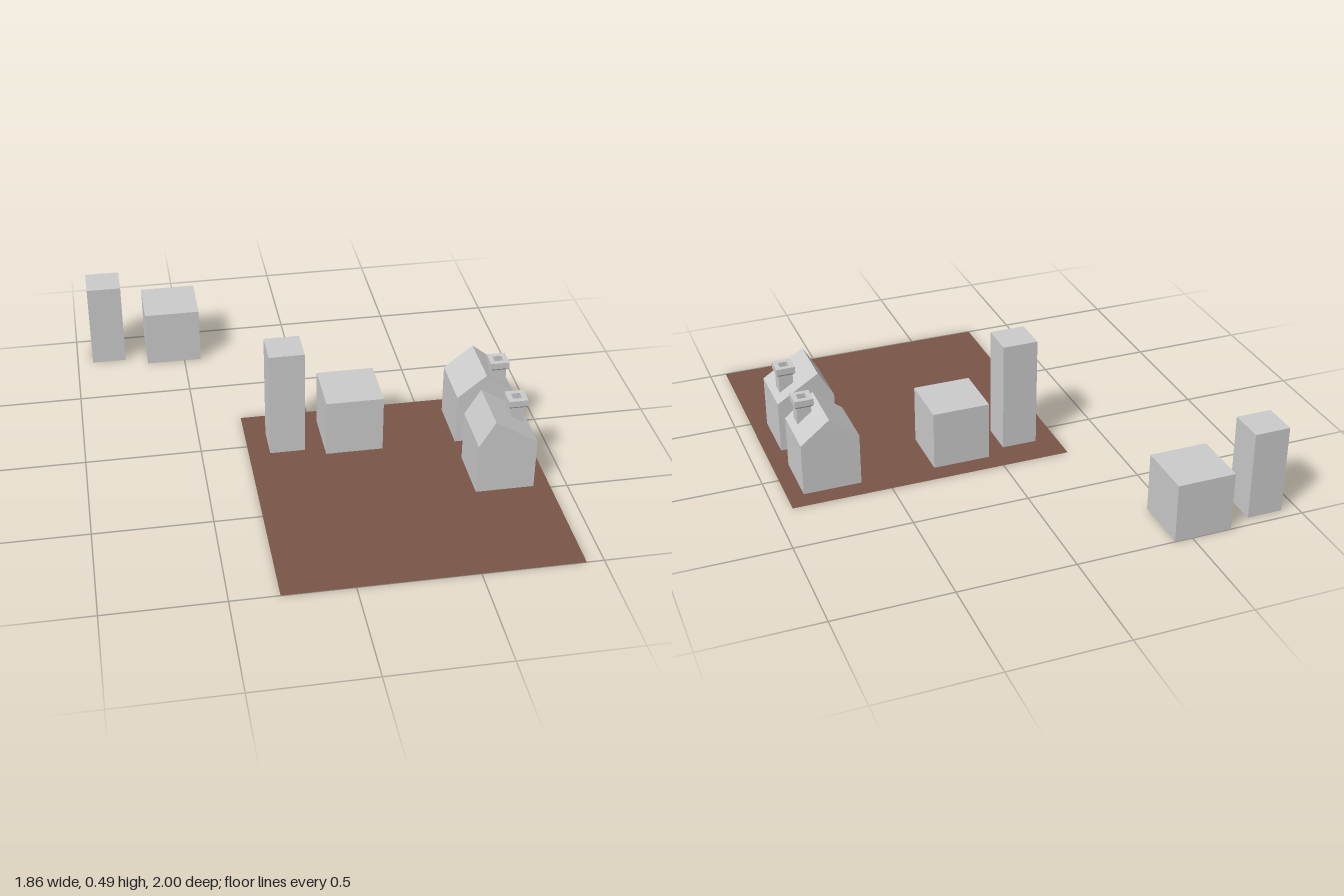
import * as THREE from 'three';

const grey = new THREE.MeshStandardMaterial({ color: 0xcccccc, flatShading: true });
const brown = new THREE.MeshStandardMaterial({ color: 0x795548, side: THREE.DoubleSide });
const LIFT = 0.001; // keeps the undersides clear of the ground sheet

function add(parent, name, geometry, material, x, y, z) {
  const mesh = new THREE.Mesh(geometry, material);
  mesh.name = name;
  mesh.position.set(x, y, z);
  parent.add(mesh);
  return mesh;
}

// Plain block building standing on the ground
function block(parent, name, x, z, width, height) {
  add(parent, name, new THREE.BoxGeometry(width, height, width), grey, x, height / 2 + LIFT, z);
}

// Square chimney: shaft, flared cap and a sunken flue
function chimneyGeometry() {
  const profile = [
    [0, 0.2], [0.031, 0.2], [0.031, 0.325], [0.041, 0.336], [0.041, 0.364],
    [0.019, 0.364], [0.019, 0.33], [0, 0.33],
  ].map(([half, y]) => new THREE.Vector2(half * Math.SQRT2, y));
  return new THREE.LatheGeometry(profile, 4, Math.PI / 4).toNonIndexed();
}

// House with an off-centre ridge running front to back
function house(parent, name, x, z, ridgeX, ridgeY) {
  const group = new THREE.Group();
  group.name = name;
  group.position.set(x, LIFT, z);
  const half = 0.125, eaves = 0.23;
  const gable = new THREE.Shape([
    new THREE.Vector2(-half, 0), new THREE.Vector2(half, 0),
    new THREE.Vector2(half, eaves), new THREE.Vector2(ridgeX - x, ridgeY),
    new THREE.Vector2(-half, eaves),
  ]);
  const body = new THREE.ExtrudeGeometry(gable, { depth: 2 * half, bevelEnabled: false });
  add(group, 'houseBody', body, grey, 0, 0, -half);
  const chimney = chimneyGeometry();
  chimney.computeVertexNormals();
  add(group, 'chimney', chimney, grey, 0.067, 0, -0.027 + (z < 0.2 ? 0.076 : 0));
  parent.add(group);
}

export function createModel() {
  const model = new THREE.Group();
  model.name = 'village';

  // Ground sheet
  const ground = new THREE.PlaneGeometry(1.226, 1.226).rotateX(-Math.PI / 2);
  add(model, 'ground', ground, brown, 0.315, 0, 0.387);

  // Towers and low blocks
  block(model, 'outerTower', -0.853, -0.877, 0.154, 0.39);
  block(model, 'outerBlock', -0.548, -0.875, 0.25, 0.26);
  block(model, 'tower', -0.128, -0.012, 0.154, 0.49);
  block(model, 'lowBlock', 0.159, -0.015, 0.25, 0.26);

  // Houses
  house(model, 'frontHouse', 0.733, 0.357, 0.675, 0.345);
  house(model, 'backHouse', 0.733, -0.015, 0.733, 0.33);

  // Name the chimney positions consistently with each roof
  model.getObjectByName('backHouse').getObjectByName('chimney').position.z = 0.049;
  return model;
}
